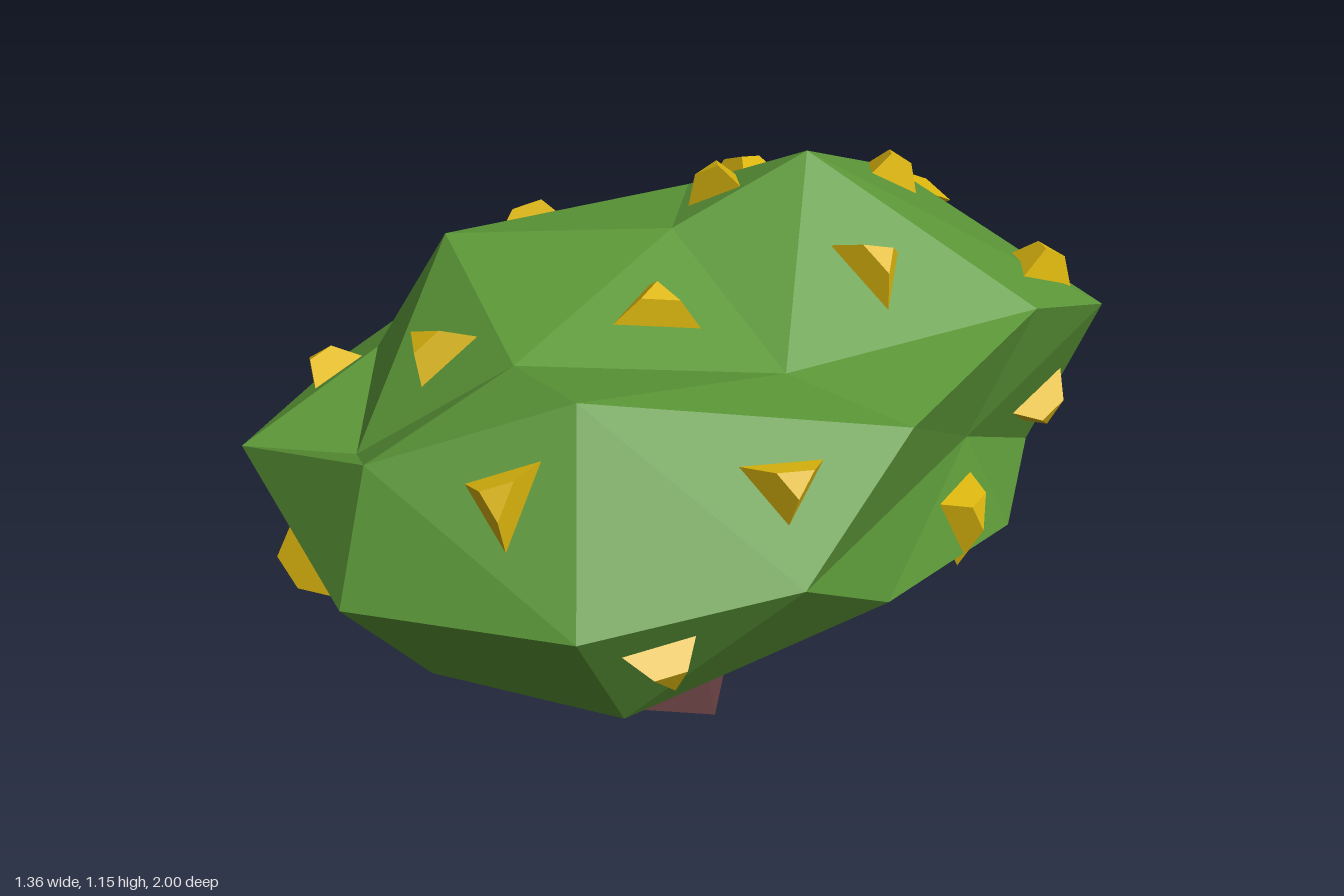
import * as THREE from 'three';
import { ConvexGeometry } from 'three/addons/geometries/ConvexGeometry.js';

const mat = (color) => new THREE.MeshStandardMaterial({ color, flatShading: true });
const V = (p) => new THREE.Vector3(...p);

// Corner points of the faceted crown, from underside to peak
const underside = [
  [.46, .36, .56], [.23, .445, .82], [-.155, .39, .775], [-.47, .40, .68], [-.67, .355, .25],
  [-.57, .5, -.41], [-.185, .29, -.415], [.15, .4, -.755], [.41, .4, -.45], [.57, .46, .02], [-.025, .32, -.05],
];
const waist = [
  [.68, .64, .32], [.58, .64, .745], [.23, .64, 1], [-.24, .75, .92], [-.68, .64, .44], [-.635, .79, .12],
  [-.59, .84, -.41], [-.52, .67, -.7], [-.12, .64, -1], [.32, .77, -.78], [.38, .62, -.35],
];
const top = [
  [.43, .88, -.475], [.61, .84, .01], [.19, .88, .91], [.42, 1, .62], [.14, .95, .56], [-.07, .755, .775],
  [-.415, .775, .515], [-.31, 1.025, .41], [-.03, 1.04, .07], [.355, .88, .1], [.04, 1.155, -.21],
  [-.34, .97, -.21], [-.285, .905, -.73],
];

// Skin the points: triangulate them on a sphere, then put each corner back in place
function crownGeometry() {
  const points = [...underside, ...waist, ...top].map(V);
  const onSphere = points.map((p, i) => {
    const x = p.x / .68;
    const fromPlan = i >= underside.length + waist.length;
    const y = fromPlan ? Math.sqrt(1 - x * x - p.z * p.z) : (p.y - .64) / .46;
    return new THREE.Vector3(x, y, p.z).normalize();
  });
  const geo = new ConvexGeometry(onSphere);
  const pos = geo.attributes.position;
  const v = new THREE.Vector3();
  for (let i = 0; i < pos.count; i++) {
    v.fromBufferAttribute(pos, i);
    let best = 0;
    onSphere.forEach((s, k) => { if (s.distanceTo(v) < onSphere[best].distanceTo(v)) best = k; });
    pos.setXYZ(i, ...points[best].toArray());
  }
  geo.computeVertexNormals();
  return geo;
}

// Approximate blossom positions, snapped onto the nearest facet
const blossomSpots = [
  [-.32, .85, -.82], [-.09, 1, -.55], [.25, .85, -.65], [-.43, .92, -.43], [.275, 1, -.19],
  [-.11, 1.08, -.10], [-.455, .93, .1], [.15, 1, .24], [-.07, .9, .585], [-.465, .74, .61],
  [.395, .85, .76], [.59, .81, .295], [.58, .53, .555], [.46, .51, -.28], [.3, .54, -.67],
  [-.055, .595, .88], [-.2, .5, -.7], [-.63, .55, -.05],
];

function addBlossoms(parent, crown) {
  const shape = new THREE.CylinderGeometry(.035, .095, .07, 3);
  const yellow = mat(0xdcb60e);
  const pos = crown.attributes.position;
  const tri = new THREE.Triangle();
  const hit = new THREE.Vector3();
  const up = new THREE.Vector3(0, 1, 0);
  blossomSpots.map(V).forEach((spot, n) => {
    let dist = Infinity;
    const place = new THREE.Vector3(), normal = new THREE.Vector3();
    for (let i = 0; i < pos.count; i += 3) {
      tri.setFromAttributeAndIndices(pos, i, i + 1, i + 2);
      tri.closestPointToPoint(spot, hit);
      if (hit.distanceTo(spot) < dist) {
        dist = hit.distanceTo(spot);
        place.copy(hit);
        tri.getNormal(normal);
      }
    }
    const blossom = new THREE.Mesh(shape, yellow);
    blossom.name = 'blossom';
    blossom.position.copy(place).addScaledVector(normal, .015);
    blossom.quaternion.setFromUnitVectors(up, normal);
    blossom.rotateY(n * 2.4);
    blossom.scale.set(1.25, 1, .95);
    parent.add(blossom);
  });
}

// Tapered, faceted limb along a bent path
function limb(path, r0, r1) {
  const segs = 3, sides = 5;
  const geo = new THREE.TubeGeometry(new THREE.CatmullRomCurve3(path.map(V)), segs, 1, sides);
  const { position: pos, normal: nor } = geo.attributes;
  const p = new THREE.Vector3(), n = new THREE.Vector3();
  for (let i = 0; i < pos.count; i++) {
    const t = Math.floor(i / (sides + 1)) / segs;
    n.fromBufferAttribute(nor, i);
    p.fromBufferAttribute(pos, i).addScaledVector(n, THREE.MathUtils.lerp(r0, r1, t) - 1);
    pos.setXYZ(i, p.x, p.y, p.z);
  }
  return geo;
}

export function createModel() {
  const tree = new THREE.Group();
  tree.name = 'tree';
  const bark = mat(0x694144);
  const add = (geo, material, name) => {
    const mesh = new THREE.Mesh(geo, material);
    mesh.name = name;
    tree.add(mesh);
    return mesh;
  };

  // Flared four-sided trunk foot and the hub where the branches fork
  const foot = add(new THREE.CylinderGeometry(.107, .14, .1, 4), bark, 'trunk');
  foot.position.set(-.028, .05, .075);
  const hub = add(new THREE.CylinderGeometry(.05, .107, .1, 4), bark, 'fork');
  hub.position.set(-.028, .15, .075);

  // Three main branches and two twigs, ending inside the crown
  const branches = [
    [[[-.05, .14, .07], [-.31, .22, .04], [-.48, .41, -.03]], .07, .035],
    [[[0, .14, .09], [.19, .21, .26], [.39, .41, .42]], .07, .035],
    [[[0, .14, .05], [.16, .23, -.1], [.39, .42, -.34]], .065, .035],
    [[[-.24, .19, .05], [-.26, .29, .07], [-.29, .42, .07]], .05, .03],
    [[[.13, .19, .21], [.18, .27, .26], [.21, .4, .27]], .05, .03],
  ];
  branches.forEach(([path, r0, r1], i) => add(limb(path, r0, r1), bark, i < 3 ? 'branch' : 'twig'));

  // Crown with its blossoms
  const crown = crownGeometry();
  add(crown, mat(0x5c9838), 'crown');
  const blossoms = new THREE.Group();
  blossoms.name = 'blossoms';
  addBlossoms(blossoms, crown);
  tree.add(blossoms);
  return tree;
}
